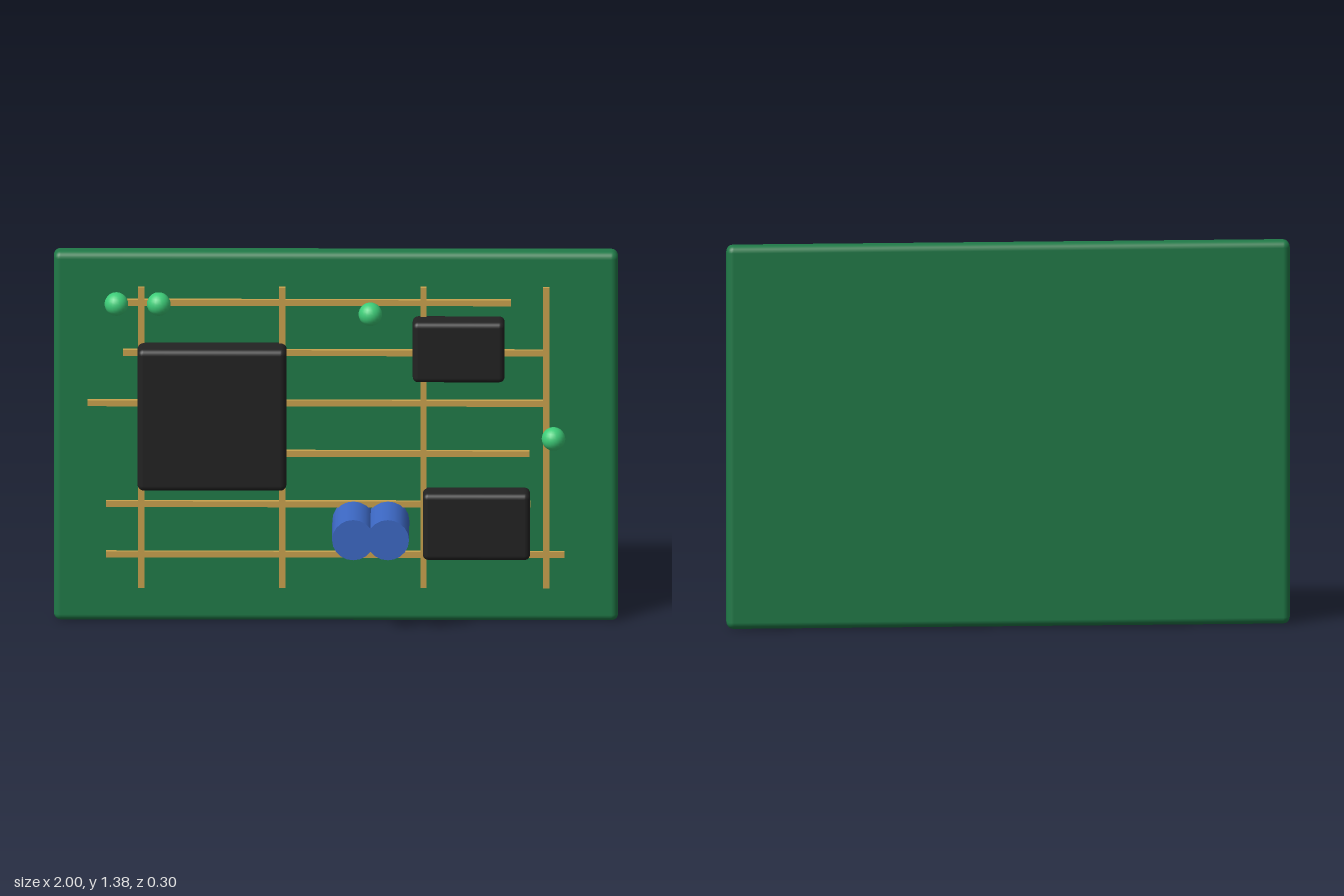
import * as THREE from 'three';
import { RoundedBoxGeometry } from 'three/addons/geometries/RoundedBoxGeometry.js';

function material(name, color) {
  const m = new THREE.MeshStandardMaterial({ color });
  m.name = name;
  return m;
}

export function createModel() {
  const group = new THREE.Group();
  const green = material('board green', 0x207a48);
  const gold = material('trace gold', 0xc9a24d);
  const black = material('chip black', 0x222222);
  const blue = material('capacitor blue', 0x3c68c4);
  const lightGreen = material('indicator green', 0x3dcc78);

  const add = (name, geometry, mat, x, y, z) => {
    const mesh = new THREE.Mesh(geometry, mat);
    mesh.name = name;
    mesh.position.set(x, y, z);
    group.add(mesh);
    return mesh;
  };

  // Box given by its minimum and maximum on each axis, rounded when r > 0
  const block = (name, mat, [x0, x1], [y0, y1], [z0, z1], r = 0) => {
    const size = [x1 - x0, y1 - y0, z1 - z0];
    const geometry = r > 0
      ? new RoundedBoxGeometry(...size, 3, r)
      : new THREE.BoxGeometry(...size);
    add(name, geometry, mat, (x0 + x1) / 2, (y0 + y1) / 2, (z0 + z1) / 2);
  };

  // Circuit board panel
  block('board', green, [-1, 1], [0, 1.375], [-0.15, -0.075], 0.025);

  // Horizontal traces: height, left end, right end
  const half = 0.011;
  [
    [1.193, -0.74, 0.62],
    [1.006, -0.755, 0.745],
    [0.818, -0.88, 0.745],
    [0.63, -0.62, 0.685],
    [0.442, -0.815, 0.69],
    [0.254, -0.815, 0.81],
  ].forEach(([y, x0, x1]) =>
    block('horizontalTrace', gold, [x0, x1], [y - half, y + half], [-0.078, -0.0605]));

  // Vertical traces
  for (const x of [-0.69, -0.19, 0.31, 0.745]) {
    block('verticalTrace', gold, [x - half, x + half], [0.13, 1.25], [-0.078, -0.06]);
  }

  // Chips
  block('processorChip', black, [-0.703, -0.175], [0.515, 1.043], [-0.085, 0.025], 0.022);
  block('upperChip', black, [0.272, 0.598], [0.917, 1.142], [-0.085, 0.013], 0.02);
  block('lowerChip', black, [0.308, 0.688], [0.254, 0.503], [-0.085, 0.013], 0.02);

  // Pair of capacitors standing out from the board
  const capacitor = new THREE.CylinderGeometry(0.075, 0.075, 0.23, 20);
  capacitor.rotateX(Math.PI / 2);
  for (const x of [0.062, 0.185]) {
    add('capacitor', capacitor, blue, x, 0.378, 0.035);
  }

  // Indicator lights
  const light = new THREE.SphereGeometry(0.042, 20, 14);
  for (const [x, y] of [[-0.778, 1.193], [-0.628, 1.193], [0.122, 1.156], [0.771, 0.692]]) {
    add('indicatorLight', light, lightGreen, x, y, -0.047);
  }

  return group;
}
